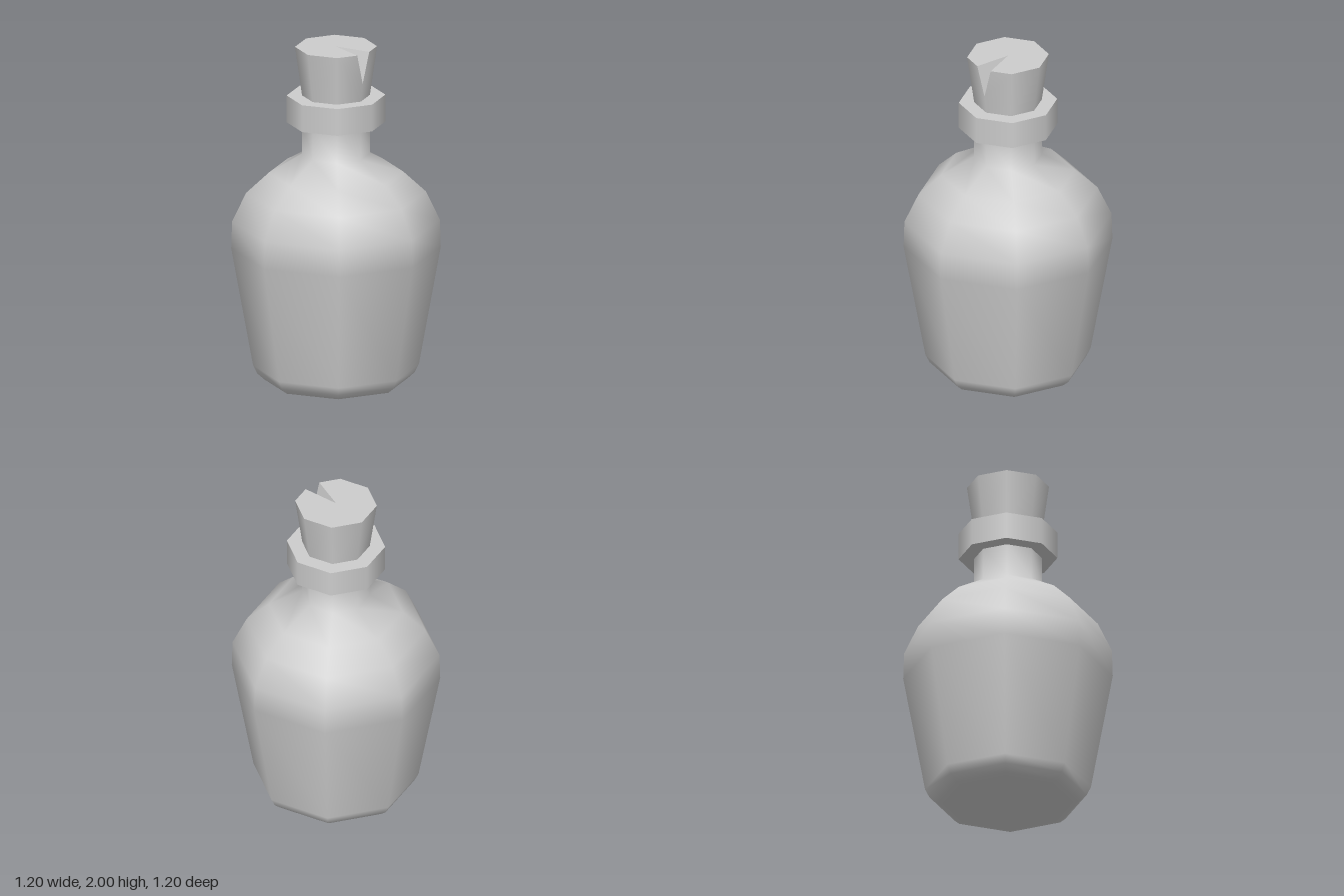
import * as THREE from 'three';

const SIDES = 8;
const grey = new THREE.MeshStandardMaterial({ color: 0xcccccc });
grey.name = 'plain grey';

function part(name, geometry) {
  const mesh = new THREE.Mesh(geometry, grey);
  mesh.name = name;
  return mesh;
}

// Non-indexed geometry from a list of corner points
function fromTriangles(points) {
  return new THREE.BufferGeometry().setFromPoints(points);
}

function createStopper() {
  const top = 2, bottom = 1.7;
  const radius = y => 0.235 - 0.14 * (top - y);
  const ring = (i, y) => {
    const a = (i / SIDES) * Math.PI * 2;
    return new THREE.Vector3(Math.sin(a) * radius(y), y, Math.cos(a) * radius(y));
  };

  // Notch corners: two on the rim, one down the front edge, one at the centre
  const right = new THREE.Vector3(0.05, top, 0.214);
  const left = new THREE.Vector3(-0.05, top, 0.214);
  const tip = ring(0, 1.82);
  const centre = new THREE.Vector3(0, top, 0);

  // Tapered wall, with the two front panels cut back to the notch
  const wall = [];
  for (let i = 0; i < SIDES; i++) {
    const a = ring(i, bottom), b = ring(i + 1, bottom);
    const c = ring(i + 1, top), d = ring(i, top);
    if (i === 0) wall.push(a, b, c, a, c, tip, tip, c, right);
    else if (i === SIDES - 1) wall.push(a, b, d, b, tip, d, tip, left, d);
    else wall.push(a, b, c, a, c, d);
  }
  const wallGeometry = fromTriangles(wall);
  const normals = wall.flatMap(p =>
    new THREE.Vector3(p.x, 0, p.z).normalize().setY(-0.14).normalize().toArray());
  wallGeometry.setAttribute('normal', new THREE.Float32BufferAttribute(normals, 3));

  // Flat top with the wedge missing
  const rim = [right];
  for (let i = 1; i < SIDES; i++) rim.push(ring(i, top));
  rim.push(left);
  const cap = [];
  for (let i = 0; i < rim.length - 1; i++) cap.push(centre, rim[i], rim[i + 1]);
  const capGeometry = fromTriangles(cap);
  capGeometry.computeVertexNormals();

  // Two sloping faces inside the notch
  const notchGeometry = fromTriangles([centre, tip, right, centre, left, tip]);
  notchGeometry.computeVertexNormals();

  const stopper = new THREE.Group();
  stopper.name = 'stopper';
  stopper.add(part('stopperWall', wallGeometry), part('stopperTop', capGeometry),
    part('stopperNotch', notchGeometry));
  return stopper;
}

export function createModel() {
  const model = new THREE.Group();
  model.name = 'bottle';

  // Body and neck, from the base up
  const profile = [
    [0, 0], [0.35, 0.003], [0.41, 0.015], [0.45, 0.05], [0.475, 0.1], [0.6, 0.8],
    [0.595, 0.96], [0.515, 1.13], [0.385, 1.25], [0.195, 1.36], [0.195, 1.56],
  ].map(([r, y]) => new THREE.Vector2(r, y));
  model.add(part('body', new THREE.LatheGeometry(profile, SIDES)));

  // Lip around the mouth
  const lip = part('lip', new THREE.CylinderGeometry(0.283, 0.283, 0.16, SIDES));
  lip.position.y = 1.63;
  model.add(lip);

  model.add(createStopper());
  return model;
}
